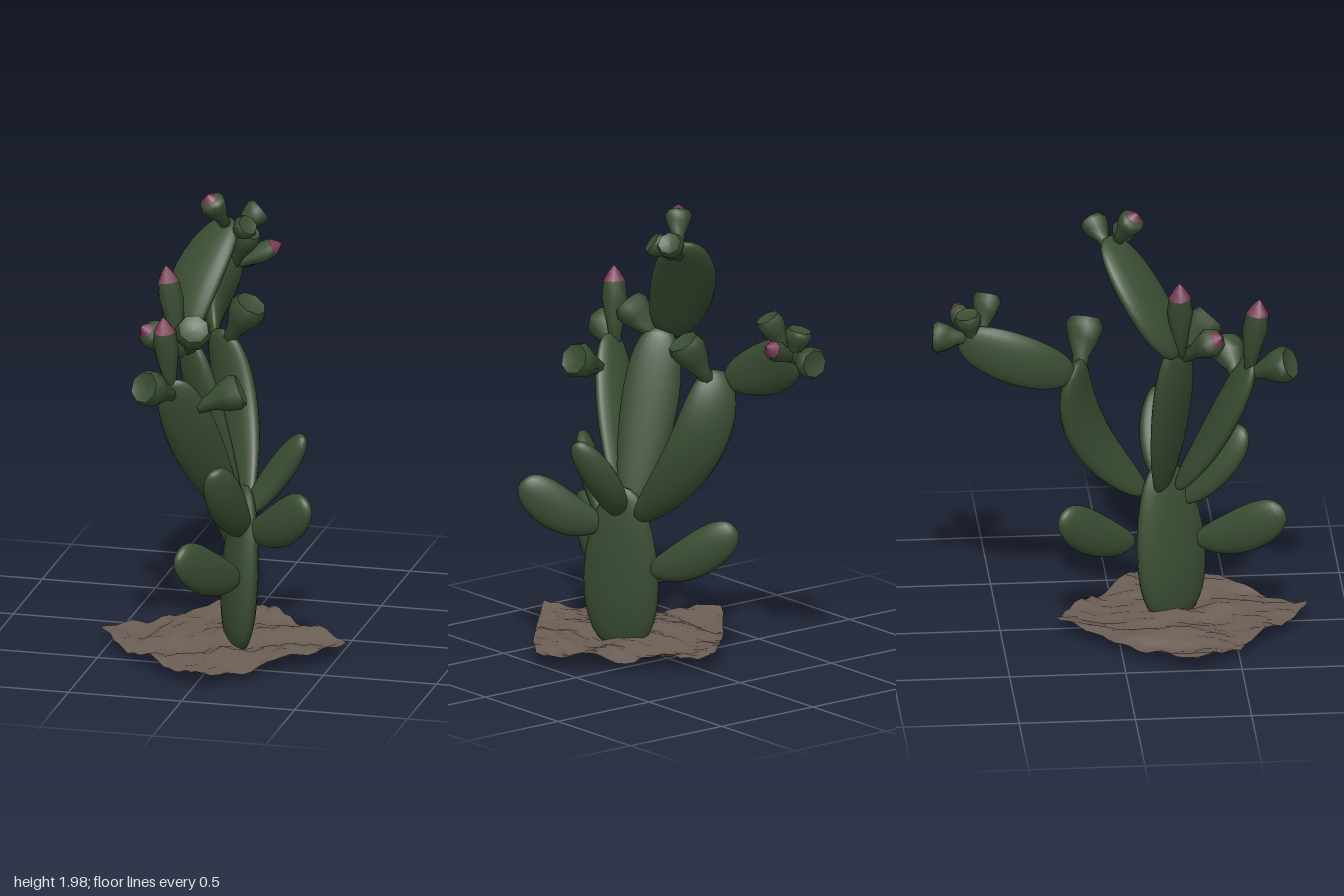
import * as THREE from 'three';
import { mergeVertices } from 'three/addons/utils/BufferGeometryUtils.js';

const V = (a) => new THREE.Vector3(...a);
const material = (name, color, side = THREE.FrontSide) => {
  const m = new THREE.MeshStandardMaterial({ color, side });
  m.name = name;
  return m;
};

// Flattened, blunt-ended egg-shaped pad swept along a bent axis; w is its broad direction
function padGeometry({ base, bend, tip, w, hw, ht, egg = [0.72, 1.12] }) {
  const curve = new THREE.QuadraticBezierCurve3(V(base), V(bend), V(tip));
  const geo = new THREE.SphereGeometry(1, 20, 18);
  const pos = geo.attributes.position;
  for (let i = 0; i < pos.count; i++) {
    const y = THREE.MathUtils.clamp(pos.getY(i), -1, 1), t = (y + 1) / 2;
    const d = curve.getTangent(t);
    const wide = V(w).addScaledVector(d, -V(w).dot(d)).normalize();
    const thin = wide.clone().cross(d);
    const blunt = Math.pow(Math.max(1 - y * y, 1e-6), -0.1);
    const k = THREE.MathUtils.lerp(egg[0], egg[1], t) * blunt;
    const p = curve.getPoint(t)
      .addScaledVector(wide, pos.getX(i) * hw * k)
      .addScaledVector(thin, pos.getZ(i) * ht * k);
    pos.setXYZ(i, p.x, p.y, p.z);
  }
  geo.deleteAttribute('uv');
  geo.deleteAttribute('normal');
  const merged = mergeVertices(geo, 1e-5);
  merged.computeVertexNormals();
  return merged;
}

// Bud profiles as [radius, height]: green body and separate end
const BUDS = {
  open: {
    body: [[0, 0], [0.38, 0], [0.45, 0.3], [0.82, 0.6], [1, 0.85], [0.84, 1]],
    end: [[0.84, 1], [0.5, 0.95], [0, 0.93]],
  },
  opening: {
    body: [[0, 0], [0.4, 0], [0.5, 0.3], [0.85, 0.6], [1, 0.8], [0.84, 0.92], [0.55, 0.97]],
    end: [[0.55, 0.97], [0.3, 1.06], [0, 1.13]],
  },
  closed: {
    body: [[0, 0], [0.42, 0], [0.65, 0.25], [1, 0.58], [0.86, 0.8]],
    end: [[0.86, 0.8], [0.42, 0.92], [0, 1]],
  },
};

const lathe = (profile, r, h) =>
  new THREE.LatheGeometry(profile.map(([x, y]) => new THREE.Vector2(x * r, y * h)), 8);

function makeBud(name, base, top, r, kind, bodyMaterial, endMaterial) {
  const dir = V(top).sub(V(base)), h = dir.length();
  const bud = new THREE.Group();
  bud.name = name;
  const body = new THREE.Mesh(lathe(BUDS[kind].body, r, h), bodyMaterial);
  body.name = 'budBody';
  const end = new THREE.Mesh(lathe(BUDS[kind].end, r, h), endMaterial);
  end.name = 'budTip';
  bud.add(body, end);
  bud.position.set(...base);
  bud.quaternion.setFromUnitVectors(new THREE.Vector3(0, 1, 0), dir.normalize());
  return bud;
}

// Rumpled square of soil between four corners, curling up at the corners
function soilGeometry() {
  const corners = [[-0.56, 0.31], [-0.04, -0.29], [0.02, 0.85], [0.56, 0.22]];
  const geo = new THREE.PlaneGeometry(1, 1, 20, 20).rotateX(-Math.PI / 2);
  const pos = geo.attributes.position;
  for (let i = 0; i < pos.count; i++) {
    const u = pos.getX(i) + 0.5, v = pos.getZ(i) + 0.5;
    const mix = (k) => THREE.MathUtils.lerp(
      THREE.MathUtils.lerp(corners[0][k], corners[1][k], u),
      THREE.MathUtils.lerp(corners[2][k], corners[3][k], u), v);
    const corner = Math.pow(Math.abs(2 * u - 1) * Math.abs(2 * v - 1), 3);
    const wave = 0.012 * Math.sin(9 * u + 4 * Math.sin(5 * v)) + 0.01 * Math.sin(13 * v - 3 * Math.sin(7 * u))
      + 0.007 * Math.sin(31 * u + 5 * Math.sin(17 * v));
    const edge = 1.02 - 0.06 * corner + 0.012 * Math.sin(17 * (u - v)) * (1 - corner);
    pos.setXYZ(i, mix(0) * edge, 0.054 + wave * (1 - 0.6 * corner) + 0.022 * corner, 0.27 + (mix(1) - 0.27) * edge);
  }
  geo.computeVertexNormals();
  return geo;
}

export function createModel() {
  const green = material('cactusGreen', 0x3a4d32);
  const pink = material('budPink', 0x773953);
  const brown = material('soilBrown', 0x6b5e55, THREE.DoubleSide);

  const model = new THREE.Group();
  model.name = 'cactus';

  const soil = new THREE.Mesh(soilGeometry(), brown);
  soil.name = 'soil';
  model.add(soil);

  const up = [0, 1, 0];
  const pads = {
    trunk: { base: [0.05, 0, 0.25], bend: [0.065, 0.36, 0.25], tip: [0.08, 0.73, 0.2], w: [0.5, 0, 0.866], hw: 0.175, ht: 0.068, egg: [1.12, 0.82] },
    // small pads around the trunk
    frontLowPad: { base: [0.09, 0.36, 0.35], bend: [0, 0.39, 0.54], tip: [-0.09, 0.57, 0.705], w: up, hw: 0.105, ht: 0.05 },
    backLowPad: { base: [0.03, 0.38, 0.08], bend: [-0.06, 0.42, -0.1], tip: [-0.17, 0.61, -0.245], w: up, hw: 0.1, ht: 0.05 },
    frontMidPad: { base: [0.1, 0.54, 0.29], bend: [0.06, 0.67, 0.43], tip: [0.03, 0.9, 0.55], w: [0.7, 0, -0.7], hw: 0.092, ht: 0.05 },
    leftMidPad: { base: [0.12, 0.56, 0.29], bend: [0.28, 0.57, 0.38], tip: [0.415, 0.77, 0.465], w: up, hw: 0.102, ht: 0.05 },
    leftHighPad: { base: [0.09, 0.61, 0.22], bend: [0.2, 0.76, 0.14], tip: [0.34, 0.97, 0.21], w: [0.5, -0.33, 0.6], hw: 0.076, ht: 0.05, egg: [0.85, 1.05] },
    // three tall arms
    middleArm: { base: [0.05, 0.6, 0.2], bend: [-0.08, 1, 0.23], tip: [-0.16, 1.39, 0.25], w: [0.7, 0.2, 0.7], hw: 0.13, ht: 0.052 },
    frontArm: { base: [0.03, 0.63, 0.26], bend: [-0.07, 0.92, 0.44], tip: [-0.15, 1.3, 0.575], w: [0.92, 0.3, -0.1], hw: 0.122, ht: 0.048 },
    backArm: { base: [0.06, 0.6, 0.13], bend: [-0.04, 0.95, -0.25], tip: [-0.13, 1.3, -0.17], w: [0.75, 0.45, 0.5], hw: 0.13, ht: 0.058, egg: [0.78, 1.08] },
    // pads growing from the arms
    topPad: { base: [-0.2, 1.35, 0.25], bend: [-0.22, 1.6, 0.11], tip: [-0.04, 1.845, -0.04], w: [0.8, 0, 0.55], hw: 0.145, ht: 0.055, egg: [0.95, 1.0] },
    backHighPad: { base: [-0.16, 1.25, -0.2], bend: [-0.25, 1.35, -0.42], tip: [-0.17, 1.45, -0.69], w: up, hw: 0.122, ht: 0.045, egg: [0.85, 1.05] },
  };
  for (const [name, spec] of Object.entries(pads)) {
    const mesh = new THREE.Mesh(padGeometry(spec), green);
    mesh.name = name;
    model.add(mesh);
  }

  // base, tip, radius, kind, colour of the end
  const buds = {
    topBudA: [[-0.06, 1.83, 0], [-0.115, 1.965, 0.07], 0.06, 'opening', pink],
    topBudB: [[-0.03, 1.79, -0.04], [0.07, 1.88, -0.1], 0.06, 'open', green],
    topBudC: [[-0.03, 1.78, 0], [0.05, 1.85, 0.045], 0.056, 'open', green],
    middleBudClosed: [[-0.2, 1.35, 0.26], [-0.262, 1.71, 0.25], 0.056, 'closed', pink],
    middleBudA: [[-0.18, 1.33, 0.28], [-0.31, 1.465, 0.41], 0.066, 'opening', pink],
    middleBudB: [[-0.15, 1.34, 0.26], [-0.1, 1.48, 0.4], 0.08, 'open', green],
    frontBudClosed: [[-0.16, 1.25, 0.56], [-0.185, 1.59, 0.6], 0.056, 'closed', pink],
    frontBudA: [[-0.15, 1.23, 0.55], [-0.235, 1.31, 0.73], 0.082, 'open', green],
    frontBudB: [[-0.05, 1.17, 0.52], [0.13, 1.25, 0.48], 0.08, 'open', green],
    backBud: [[-0.1, 1.24, -0.17], [0.02, 1.44, -0.13], 0.082, 'open', green],
    backHighBudA: [[-0.175, 1.45, -0.65], [-0.165, 1.455, -0.805], 0.072, 'open', green],
    backHighBudB: [[-0.18, 1.43, -0.63], [-0.2, 1.57, -0.66], 0.06, 'open', green],
    backHighBudC: [[-0.18, 1.44, -0.64], [0.01, 1.535, -0.695], 0.046, 'closed', pink],
    backHighBudD: [[-0.18, 1.45, -0.6], [-0.1, 1.62, -0.56], 0.062, 'open', green],
  };
  for (const [name, [base, tip, r, kind, endMaterial]] of Object.entries(buds)) {
    model.add(makeBud(name, base, tip, r, kind, green, endMaterial));
  }
  return model;
}
